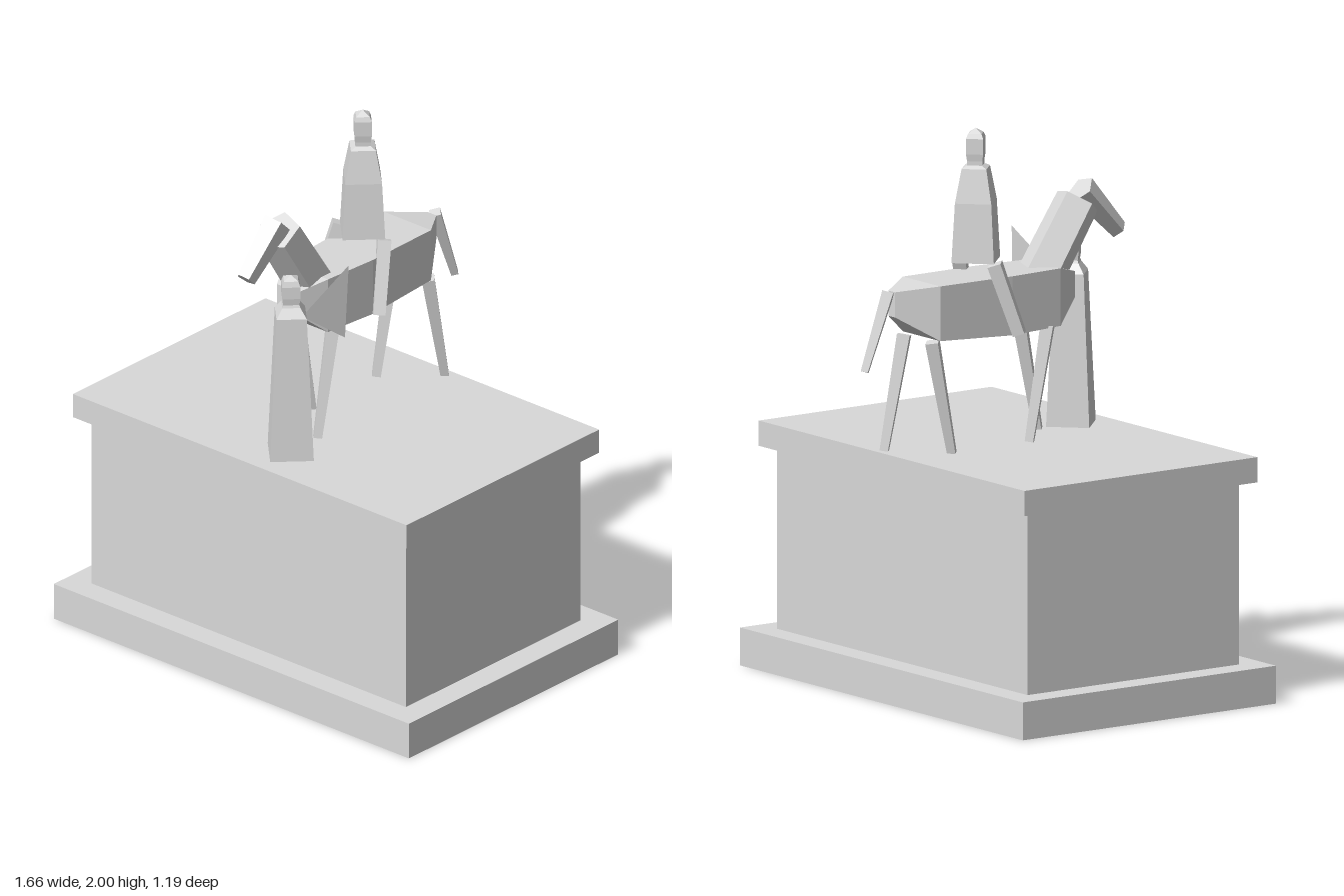
import * as THREE from 'three';

export function createModel() {
  const group = new THREE.Group();
  const stone = new THREE.MeshStandardMaterial({ color: 0xd9d9d9, side: THREE.DoubleSide });
  stone.name = 'stone';

  // Adds a faceted mesh
  function add(name, geometry) {
    const flat = geometry.index ? geometry.toNonIndexed() : geometry;
    flat.computeVertexNormals();
    const mesh = new THREE.Mesh(flat, stone);
    mesh.name = name;
    group.add(mesh);
    return mesh;
  }

  // Hollow slab, open underneath
  function slab(name, w, d, y0, y1) {
    const box = new THREE.BoxGeometry(w, y1 - y0, d);
    box.setIndex([...box.index.array].filter((_, i) => i < 18 || i >= 24));
    box.clearGroups();
    add(name, box).position.set(0, (y0 + y1) / 2, 0.045);
  }

  // Tapered prism running from point a up to point b
  function limb(name, a, b, ra, rb, sides = 4, start = 0) {
    const from = new THREE.Vector3(...a), to = new THREE.Vector3(...b);
    const dir = to.clone().sub(from);
    const mesh = add(name, new THREE.CylinderGeometry(rb, ra, dir.length(), sides, 1, false, start));
    mesh.position.copy(from).add(to).multiplyScalar(0.5);
    mesh.quaternion.setFromUnitVectors(new THREE.Vector3(0, 1, 0), dir.normalize());
  }

  // Four-sided robed figure
  function figure(name, x, z, profile) {
    const points = profile.map(([r, y]) => new THREE.Vector2(r, y));
    add(name, new THREE.LatheGeometry(points, 4)).position.set(x, 0, z);
  }

  // Plinth
  slab('plinthBase', 1.66, 1.1, 0, 0.135);
  slab('plinthBody', 1.47, 0.918, 0.135, 0.785);
  slab('plinthCap', 1.56, 1.012, 0.785, 0.875);

  // Horse body lofted through rectangular sections: z, half width, bottom, top
  const sections = [
    [0.3, 0.05, 1.36, 1.45], [0.2, 0.1, 1.275, 1.48], [-0.02, 0.115, 1.27, 1.48],
    [-0.33, 0.11, 1.285, 1.48], [-0.46, 0.02, 1.37, 1.46],
  ];
  const positions = sections.flatMap(([z, w, lo, hi]) => [-w, lo, z, w, lo, z, w, hi, z, -w, hi, z]);
  const index = [0, 1, 2, 0, 2, 3];
  const last = (sections.length - 1) * 4;
  for (let s = 0; s < last; s += 4) {
    for (let i = 0; i < 4; i++) {
      const j = (i + 1) % 4;
      index.push(s + i, s + 4 + i, s + j, s + j, s + 4 + i, s + 4 + j);
    }
  }
  index.push(last, last + 2, last + 1, last, last + 3, last + 2);
  const body = new THREE.BufferGeometry();
  body.setAttribute('position', new THREE.Float32BufferAttribute(positions, 3));
  body.setIndex(index);
  add('horseBody', body);

  // Horse neck, head and tail
  const fiveSided = Math.PI * 0.3;
  limb('horseNeck', [0, 1.415, 0.17], [0, 1.69, 0.35], 0.088, 0.082, 5, fiveSided);
  limb('horseHead', [0, 1.728, 0.36], [0, 1.565, 0.52], 0.055, 0.036, 5, fiveSided);
  limb('horseTail', [0, 1.187, -0.578], [0, 1.46, -0.475], 0.018, 0.028);

  // Legs: the left pair spreads outward, the right pair swings inward
  for (const [side, frontZ, backZ] of [[1, 0.237, -0.43], [-1, 0.075, -0.262]]) {
    limb('horseFrontLeg', [side * 0.085, 0.875, frontZ], [side * 0.083, 1.28, 0.155], 0.021, 0.032);
    limb('horseBackLeg', [side * 0.085, 0.875, backZ], [side * 0.083, 1.28, -0.345], 0.021, 0.032);
    limb('riderLeg', [side * 0.148, 1.28, -0.015], [side * 0.105, 1.53, -0.09], 0.03, 0.034);
  }

  // Rider
  figure('rider', 0, -0.095, [
    [0, 1.53], [0.106, 1.53], [0.091, 1.74], [0.062, 1.86], [0.038, 1.87],
    [0.038, 1.885], [0.043, 1.91], [0.043, 1.965], [0.034, 1.982], [0, 2],
  ]);

  // Standing attendant
  figure('attendant', 0.093, 0.387, [
    [0, 0.875], [0.108, 0.875], [0.075, 1.416], [0.045, 1.45],
    [0.04, 1.46], [0.045, 1.485], [0.045, 1.53], [0.036, 1.55], [0, 1.565],
  ]);

  // Attendant's flat triangular wings
  for (const side of [1, -1]) {
    const x = (offset) => 0.093 + side * offset;
    const wing = new THREE.BufferGeometry();
    wing.setAttribute('position', new THREE.Float32BufferAttribute(
      [x(0.02), 1.395, 0.35, x(0.122), 1.58, 0.22, x(0.087), 1.28, 0.2], 3));
    add('attendantWing', wing);
  }

  return group;
}
